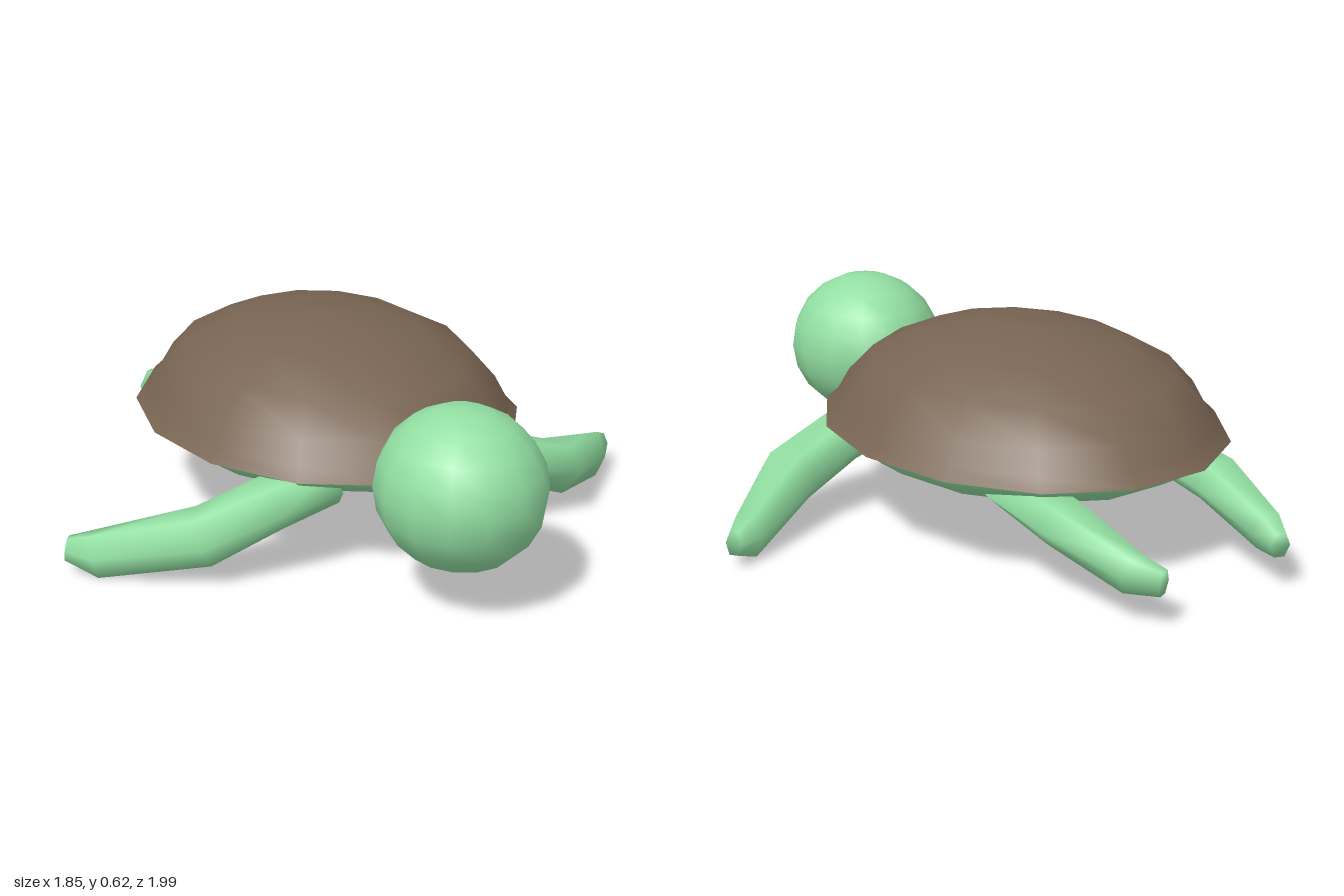
import * as THREE from 'three';

const skin = new THREE.MeshStandardMaterial({ color: 0x92dfa2 });
skin.name = 'green skin';
const shellBrown = new THREE.MeshStandardMaterial({ color: 0x786452 });
shellBrown.name = 'brown shell';

// Oval lathe around the body centre, with a flat facet at front and rear
function ovalLathe(profile) {
  const sides = 14;
  const points = profile.map(([r, y]) => new THREE.Vector2(r, y));
  const geometry = new THREE.LatheGeometry(points, sides, Math.PI / sides);
  return geometry.scale(0.565, 1, 0.685).translate(0, 0, -0.1);
}

// Closed limb lofted through stations [x, y, z, half width, half height]
function limb(stations, mirror) {
  const sides = 6;
  const centers = stations.map(([x, y, z]) => new THREE.Vector3(x * mirror, y, z));
  const up = new THREE.Vector3(0, 1, 0);
  const positions = [];
  const index = [];
  const last = stations.length - 1;
  centers.forEach((c, i) => {
    const tangent = centers[Math.min(i + 1, last)].clone().sub(centers[Math.max(i - 1, 0)]).normalize();
    const side = up.clone().cross(tangent).normalize();
    const rise = tangent.clone().cross(side);
    for (let j = 0; j < sides; j++) {
      const a = (j / sides) * Math.PI * 2;
      const p = c.clone()
        .addScaledVector(side, Math.cos(a) * stations[i][3])
        .addScaledVector(rise, Math.sin(a) * stations[i][4]);
      positions.push(p.x, p.y, p.z);
    }
  });
  for (let i = 0; i < last; i++) {
    for (let j = 0; j < sides; j++) {
      const k = (j + 1) % sides;
      const a = i * sides + j, b = i * sides + k;
      index.push(a, b, a + sides, b, b + sides, a + sides);
    }
  }
  // End caps
  for (let j = 1; j < sides - 1; j++) {
    const e = last * sides;
    index.push(0, j + 1, j, e, e + j, e + j + 1);
  }
  const geometry = new THREE.BufferGeometry();
  geometry.setAttribute('position', new THREE.Float32BufferAttribute(positions, 3));
  geometry.setIndex(index);
  geometry.computeVertexNormals();
  return geometry;
}

export function createModel() {
  const model = new THREE.Group();
  model.name = 'turtle';
  const add = (name, geometry, material) => {
    const mesh = new THREE.Mesh(geometry, material);
    mesh.name = name;
    model.add(mesh);
    return mesh;
  };

  // Domed shell with a flared rim, and the rim's underside
  add('shell', ovalLathe([
    [1, 0.33], [0.94, 0.365], [0.88, 0.43], [0.75, 0.515],
    [0.5, 0.588], [0.24, 0.625], [0, 0.635],
  ]), shellBrown);
  add('shellUnderside', ovalLathe([[0, 0.335], [0.9, 0.335], [1, 0.33]]), shellBrown);

  // Shallow belly
  add('belly', ovalLathe([
    [0, 0.19], [0.3, 0.194], [0.55, 0.215], [0.78, 0.25], [0.91, 0.3], [0.94, 0.334],
  ]), skin);

  // Round head
  const head = add('head', new THREE.SphereGeometry(1, 14, 10), skin);
  head.scale.set(0.24, 0.233, 0.256);
  head.position.set(0, 0.372, 0.744);

  // Flippers
  const front = [
    [0.2, 0.27, 0.33, 0.1, 0.06],
    [0.38, 0.235, 0.325, 0.105, 0.075],
    [0.58, 0.16, 0.3, 0.105, 0.085],
    [0.84, 0.083, 0.12, 0.05, 0.075],
    [0.91, 0.095, 0.07, 0.025, 0.04],
  ];
  const rear = [
    [0.28, 0.27, -0.42, 0.1, 0.055],
    [0.285, 0.235, -0.65, 0.095, 0.065],
    [0.25, 0.16, -0.9, 0.055, 0.06],
    [0.215, 0.152, -0.985, 0.03, 0.04],
  ];
  for (const [label, side] of [['left', 1], ['right', -1]]) {
    add(label + 'FrontFlipper', limb(front, side), skin);
    add(label + 'RearFlipper', limb(rear, side), skin);
  }
  return model;
}
